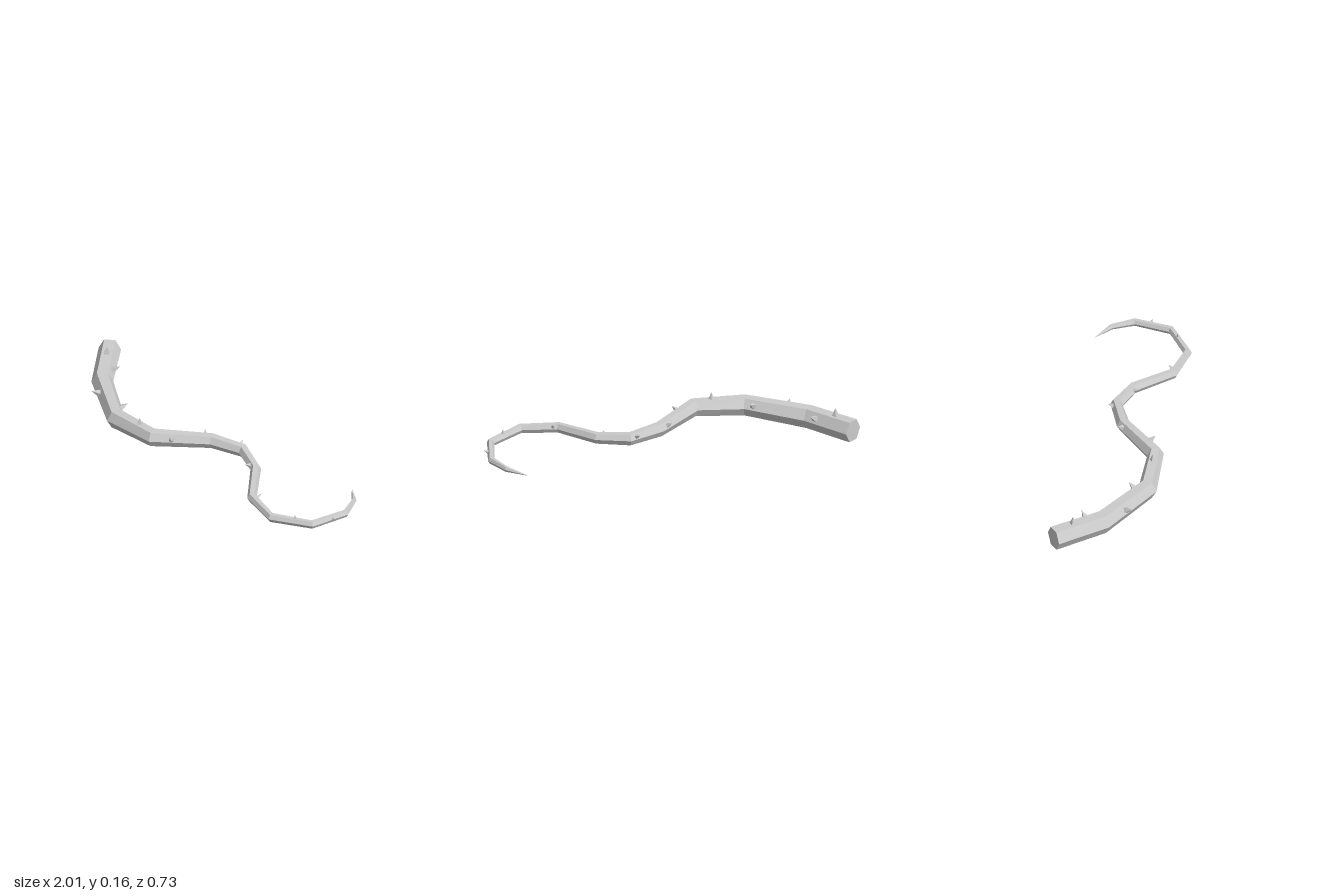
import * as THREE from 'three';

// Vine spine: x, y, z, half-width
const SPINE = [
  [-0.957, 0.062, -0.04, 0.06], [-0.74, 0.056, 0.163, 0.058], [-0.41, 0.067, 0.31, 0.052],
  [-0.135, 0.084, 0.268, 0.045], [0.067, 0.08, 0.026, 0.037], [0.23, 0.073, -0.063, 0.033],
  [0.4, 0.066, -0.023, 0.029], [0.592, 0.058, 0.138, 0.026], [0.793, 0.051, 0.155, 0.0235],
  [0.962, 0.044, 0.012, 0.021], [0.976, 0.04, -0.195, 0.019], [0.903, 0.037, -0.303, 0.014],
  [0.797, 0.025, -0.365, 0.0008],
];
// Thorns: position along the spine, angle from straight up (positive = right-hand side)
const THORNS = [
  [0.4, 0], [0.74, -60], [1.38, 65], [1.83, -60], [2.65, 0], [3.33, 65],
  [3.88, -60], [4.85, -60], [5.83, 65], [7.14, -55], [8.58, 0], [9.58, 70],
];
const SIDES = 6;
const HEIGHT = 0.95; // half-height relative to half-width
const UP = new THREE.Vector3(0, 1, 0);
const points = SPINE.map(([x, y, z]) => new THREE.Vector3(x, y, z));

// Horizontal vector pointing to the right of the travel from point a to point b
const rightOf = (a, b) => points[b].clone().sub(points[a]).cross(UP).normalize();

function vineGeometry() {
  const last = points.length - 1;
  const rings = points.map((p, i) => {
    const before = rightOf(Math.max(i - 1, 0), Math.max(i, 1));
    const after = rightOf(Math.min(i, last - 1), Math.min(i + 1, last));
    const side = before.add(after).normalize();
    const w = SPINE[i][3];
    return Array.from({ length: SIDES }, (_, k) => {
      const a = (k / SIDES) * Math.PI * 2;
      const rise = (w * HEIGHT * Math.sin(a)) / Math.sin(Math.PI / 3);
      return p.clone().addScaledVector(side, w * Math.cos(a)).addScaledVector(UP, rise);
    });
  });
  const tris = [];
  for (let i = 0; i < last; i++) {
    for (let k = 0; k < SIDES; k++) {
      const n = (k + 1) % SIDES;
      const [a, b, c, d] = [rings[i][k], rings[i + 1][k], rings[i + 1][n], rings[i][n]];
      tris.push(a, b, c, a, c, d);
    }
  }
  // End caps
  for (let k = 1; k < SIDES - 1; k++) {
    tris.push(rings[0][0], rings[0][k], rings[0][k + 1]);
    tris.push(rings[last][0], rings[last][k + 1], rings[last][k]);
  }
  const geometry = new THREE.BufferGeometry().setFromPoints(tris);
  geometry.computeVertexNormals();
  return geometry;
}

function makeThorn([t, degrees], material) {
  const i = Math.floor(t), f = t - i;
  const w = THREE.MathUtils.lerp(SPINE[i][3], SPINE[i + 1][3], f);
  const length = 0.01 + 0.7 * w;
  const angle = THREE.MathUtils.degToRad(degrees);
  const out = rightOf(i, i + 1).multiplyScalar(Math.sin(angle)).addScaledVector(UP, Math.cos(angle));
  const thorn = new THREE.Mesh(new THREE.ConeGeometry(length * 0.42, length, 4), material);
  thorn.name = 'thorn';
  thorn.quaternion.setFromUnitVectors(UP, out);
  // Base sits just under the bark
  thorn.position.lerpVectors(points[i], points[i + 1], f).addScaledVector(out, w * 0.84 + length / 2);
  return thorn;
}

export function createModel() {
  const material = new THREE.MeshStandardMaterial({ color: 0xcccccc, flatShading: true });
  const model = new THREE.Group();
  model.name = 'thornyVine';

  const vine = new THREE.Mesh(vineGeometry(), material);
  vine.name = 'vineStem';
  model.add(vine);

  const thorns = new THREE.Group();
  thorns.name = 'thorns';
  for (const spec of THORNS) thorns.add(makeThorn(spec, material));
  model.add(thorns);
  return model;
}
